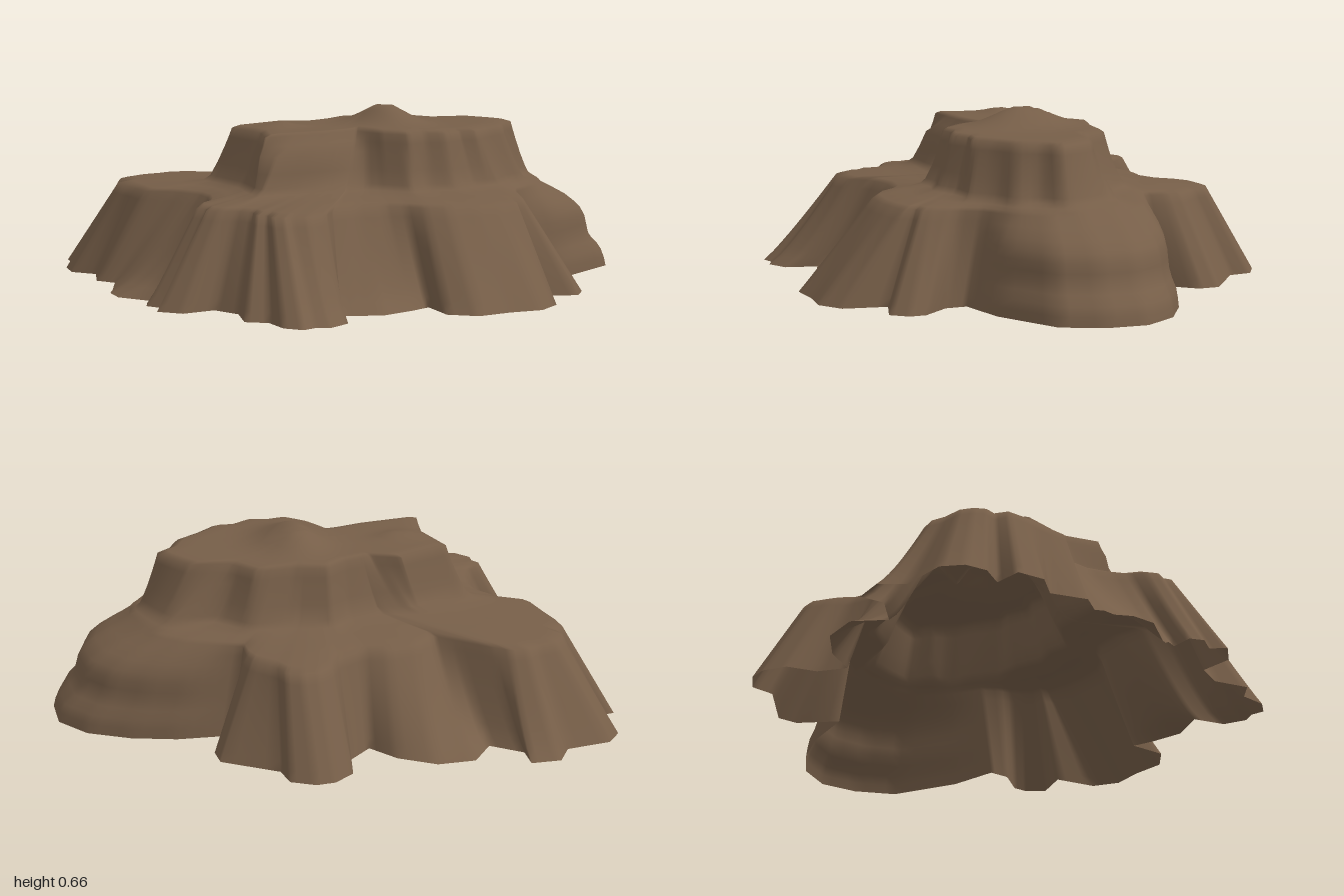
import * as THREE from 'three';

// Outlines as x, z pairs, running from the left (+x) side round by the front.
// Each point of the base flute line belongs to the same point of the ledge rim.
const BASE = [
  1, -0.05, 0.99, 0.1, 0.92, 0.25, 0.68, 0.38, 0.49, 0.42, 0.49, 0.5, 0.57, 0.6, 0.57, 0.66, 0.52, 0.72,
  0.39, 0.68, 0.36, 0.84, 0.27, 0.9, 0.15, 0.89, 0.02, 0.9, -0.07, 0.83, -0.07, 0.69, -0.15, 0.72,
  -0.27, 0.75, -0.41, 0.7, -0.44, 0.82, -0.52, 0.86, -0.57, 0.84, -0.62, 0.855, -0.67, 0.8, -0.68, 0.7,
  -0.75, 0.65, -0.72, 0.52, -0.77, 0.42, -0.89, 0.43, -0.96, 0.36, -0.92, 0.31, -0.96, 0.25, -0.94, 0.2,
  -0.86, 0.2, -0.89, 0.12, -0.98, 0, -0.98, -0.09, -0.92, -0.21, -0.97, -0.28, -0.93, -0.41, -1, -0.49,
  -0.99, -0.59, -0.89, -0.6, -0.94, -0.68, -0.93, -0.76, -0.87, -0.82, -0.7, -0.83, -0.64, -0.91,
  -0.53, -0.9, -0.54, -0.81, -0.44, -0.72, -0.35, -0.82, -0.21, -0.81, -0.09, -0.72, -0.02, -0.61,
  0.07, -0.68, 0.1, -0.79, 0.18, -0.84, 0.25, -0.84, 0.33, -0.79, 0.34, -0.7, 0.52, -0.56, 0.52, -0.48,
  0.41, -0.36, 0.62, -0.33, 0.78, -0.27, 0.92, -0.18,
];
const LEDGE = [
  0.68, -0.06, 0.7, 0.07, 0.67, 0.18, 0.58, 0.28, 0.47, 0.35, 0.43, 0.42, 0.42, 0.47, 0.4, 0.52, 0.38, 0.55,
  0.34, 0.56, 0.33, 0.6, 0.24, 0.62, 0.15, 0.63, 0.04, 0.62, -0.03, 0.58, -0.08, 0.52, -0.14, 0.48,
  -0.25, 0.47, -0.35, 0.5, -0.41, 0.57, -0.49, 0.59, -0.54, 0.57, -0.57, 0.57, -0.6, 0.54, -0.6, 0.49,
  -0.63, 0.47, -0.62, 0.41, -0.66, 0.36, -0.72, 0.34, -0.75, 0.3, -0.74, 0.27, -0.76, 0.23, -0.74, 0.19,
  -0.69, 0.15, -0.66, 0.09, -0.635, 0.01, -0.64, -0.07, -0.7, -0.17, -0.79, -0.23, -0.8, -0.34, -0.81, -0.42,
  -0.81, -0.49, -0.77, -0.52, -0.78, -0.56, -0.76, -0.6, -0.72, -0.63, -0.65, -0.64, -0.6, -0.66,
  -0.54, -0.65, -0.48, -0.6, -0.38, -0.5, -0.32, -0.44, -0.23, -0.5, -0.12, -0.52, -0.03, -0.5,
  0.07, -0.54, 0.12, -0.6, 0.18, -0.64, 0.24, -0.64, 0.29, -0.61, 0.31, -0.55, 0.37, -0.47, 0.38, -0.41,
  0.37, -0.33, 0.48, -0.28, 0.57, -0.23, 0.64, -0.15,
];
// Foot and rim of the upper tier, free outlines sampled by angle.
const FOOT = [
  0.63, 0.02, 0.65, 0.11, 0.57, 0.17, 0.55, 0.26, 0.46, 0.29, 0.38, 0.37, 0.27, 0.38, 0.17, 0.42, 0.08, 0.39,
  0, 0.41, -0.08, 0.32, -0.12, 0.28, -0.28, 0.28, -0.54, 0.28, -0.52, 0.06, -0.56, -0.19, -0.3, -0.28,
  -0.18, -0.24, -0.06, -0.26, 0.02, -0.32, 0.14, -0.28, 0.32, -0.27, 0.41, -0.15, 0.58, -0.12,
];
const CROWN = [
  0.54, 0.02, 0.58, 0.1, 0.52, 0.14, 0.47, 0.22, 0.38, 0.27, 0.3, 0.33, 0.24, 0.32, 0.16, 0.36, 0.09, 0.33,
  0.02, 0.34, -0.05, 0.26, -0.1, 0.15, -0.26, 0.18, -0.48, 0.19, -0.44, 0.05, -0.48, -0.15, -0.27, -0.22,
  -0.17, -0.17, -0.06, -0.2, 0.02, -0.25, 0.14, -0.21, 0.28, -0.2, 0.35, -0.09, 0.49, -0.06,
];
// Inward share of the layered round lobe at eleven even heights.
const LOBE = [0, 0.03, 0.08, 0.2, 0.28, 0.31, 0.34, 0.41, 0.56, 0.77, 1];
// Upper cliff rows: height, inward share of a plain wall and of a stepped wall.
const CLIFF = [[0.4, 0.1, 0.1], [0.45, 0.4, 0.25], [0.51, 0.7, 0.4], [0.545, 0.86, 0.76], [0.577, 1, 1]];

// Distance from the centre to an outline in direction a.
function reach(outline, a) {
  const dx = Math.cos(a), dz = Math.sin(a), n = outline.length;
  let best = 0;
  for (let i = 0; i < n; i += 2) {
    const px = outline[i], pz = outline[i + 1];
    const ex = outline[(i + 2) % n] - px, ez = outline[(i + 3) % n] - pz;
    const d = dx * ez - dz * ex;
    if (Math.abs(d) < 1e-9) continue;
    const r = (px * ez - pz * ex) / d, u = (px * dz - pz * dx) / d;
    if (r > 0 && u >= -1e-6 && u <= 1 + 1e-6) best = Math.max(best, r);
  }
  return best;
}

const bump = (d, w) => Math.exp(-(d * d) / (w * w));
const mix = THREE.MathUtils.lerp;

// Point on an outline, a share t of the way from point i to the next.
function along(outline, i, t) {
  const n = outline.length;
  return [mix(outline[i], outline[(i + 2) % n], t), mix(outline[i + 1], outline[(i + 3) % n], t)];
}

// Height of the summit plateau with its two knolls.
const summit = (x, z) => 0.587 + 0.075 * bump(x - 0.07, 0.1) * bump(z - 0.04, 0.15)
  + 0.022 * bump(Math.hypot(x + 0.33, z + 0.02), 0.06);

// One vertical profile, from the foot of the cliff to the summit centre.
function profile([bx, bz], [lx, lz]) {
  const pts = [];
  const baseAngle = Math.atan2(bz, bx), a = Math.atan2(lz, lx);
  const cos = Math.cos(a), sin = Math.sin(a);
  const rLedge = Math.hypot(lx, lz), rFoot = reach(FOOT, a), rCrown = reach(CROWN, a);
  const add = (r, y) => pts.push([cos * r, y, sin * r]);
  const lobe = 1 - THREE.MathUtils.smoothstep(Math.abs(baseAngle), 0.45, 0.72);
  const alcove = bump(baseAngle - 1.95, 0.22) + bump(baseAngle + 1.97, 0.22)
    + bump(Math.PI - Math.abs(baseAngle), 0.18);
  const y0 = bx < -0.85 && Math.abs(bz) < 0.16 ? 0 : 0.012;
  // Lower cliff: straight flutes, a layered round lobe, alcoves with steep backs
  LOBE.forEach((share, k) => {
    const s = k / 10, t = mix(Math.pow(s, 1 - 0.35 * alcove), share, lobe);
    pts.push([mix(bx, lx, t), mix(y0, 0.345, s), mix(bz, lz, t)]);
  });
  // Ledge
  add(mix(rLedge, rFoot, 0.12), 0.357);
  add(mix(rLedge, rFoot, 0.55), 0.368);
  add(mix(rLedge, rFoot, 0.92), 0.38);
  // Upper cliff, stepped at the front right
  for (const [y, plain, stepped] of CLIFF) {
    add(mix(rFoot, rCrown, mix(plain, stepped, bump(a - 2.5, 0.4))), y);
  }
  // Summit
  for (const f of [0.94, 0.82, 0.7, 0.58, 0.46, 0.34, 0.22, 0.1, 0]) {
    const r = rCrown * f;
    add(r, summit(cos * r, sin * r));
  }
  return pts;
}

function mesaGeometry() {
  const columns = [], STEPS = 4;
  for (let i = 0; i < BASE.length; i += 2) {
    for (let k = 0; k < STEPS; k++) {
      columns.push(profile(along(BASE, i, k / STEPS), along(LEDGE, i, k / STEPS)));
    }
  }
  const rows = columns[0].length, index = [];
  for (let i = 0; i < columns.length; i++) {
    const p = i * rows, q = ((i + 1) % columns.length) * rows;
    for (let k = 0; k < rows - 1; k++) {
      index.push(p + k, p + k + 1, q + k);
      if (k < rows - 2) index.push(q + k, p + k + 1, q + k + 1);
    }
  }
  const geometry = new THREE.BufferGeometry();
  geometry.setAttribute('position', new THREE.Float32BufferAttribute(columns.flat(2), 3));
  geometry.setIndex(index);
  geometry.computeVertexNormals();
  return geometry;
}

export function createModel() {
  const group = new THREE.Group();
  group.name = 'rockMesa';
  // Hollow shell, open underneath
  const rock = new THREE.MeshStandardMaterial({ color: 0x765e48, side: THREE.DoubleSide });
  rock.name = 'brown rock';
  const mesa = new THREE.Mesh(mesaGeometry(), rock);
  mesa.name = 'mesaShell';
  group.add(mesa);
  return group;
}
